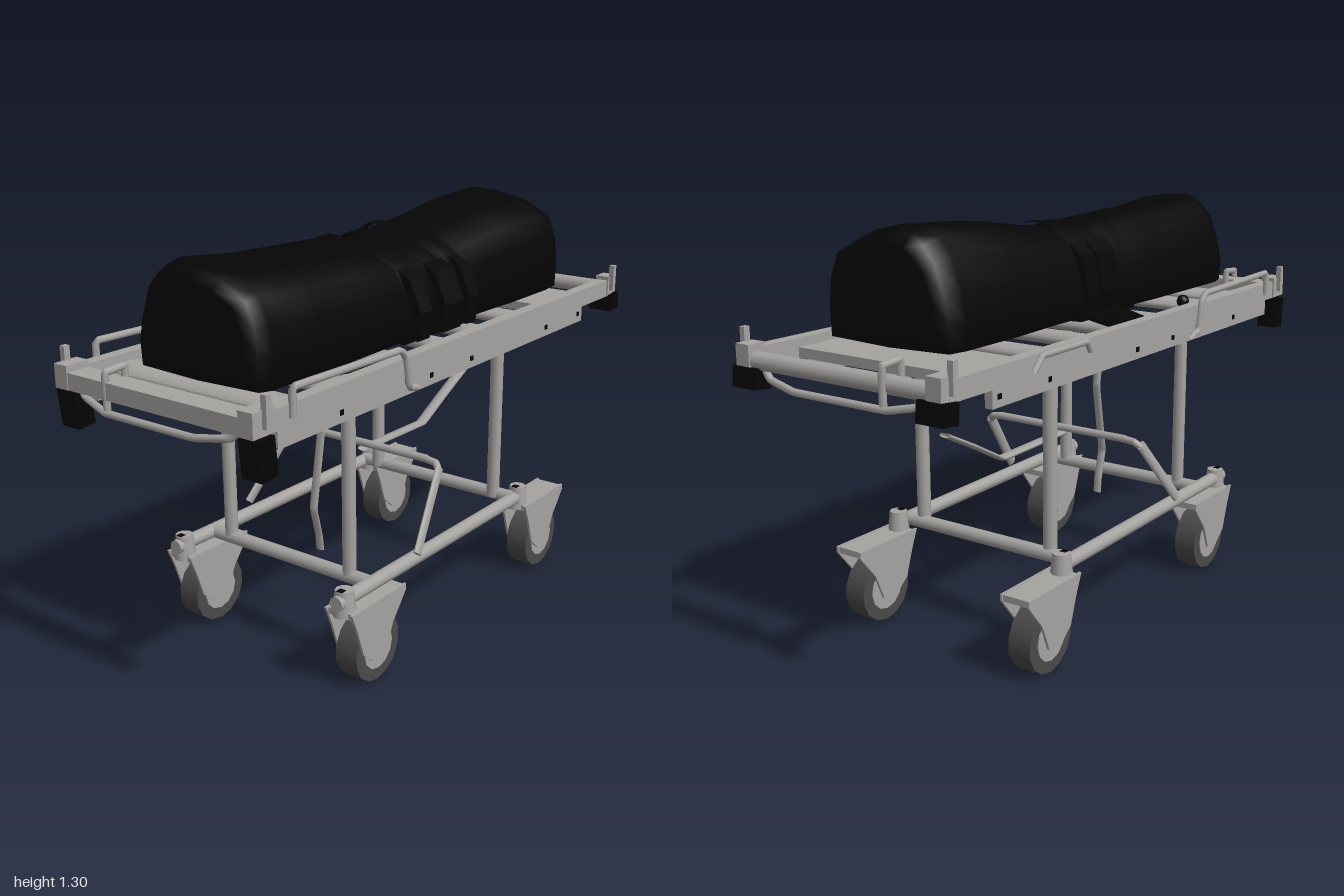
import * as THREE from 'three';

const mat = (name, color, side = THREE.FrontSide) => {
  const m = new THREE.MeshStandardMaterial({ color, side });
  m.name = name;
  return m;
};

export function createModel() {
  const steel = mat('steel grey', 0xa6a4a1, THREE.DoubleSide);
  const rubber = mat('tyre grey', 0x4a4a4a);
  const black = mat('black fabric', 0x050505, THREE.DoubleSide);
  const root = new THREE.Group();
  root.name = 'stretcher';
  const V = (p) => new THREE.Vector3(...p);

  const add = (name, geo, m, pos = [0, 0, 0], parent = root) => {
    const mesh = new THREE.Mesh(geo, m);
    mesh.name = name;
    mesh.position.set(...pos);
    parent.add(mesh);
    return mesh;
  };
  const box = (name, size, pos, m = steel, parent = root) =>
    add(name, new THREE.BoxGeometry(...size), m, pos, parent);
  // Straight round bar between two points
  const bar = (name, a, b, r) => {
    const d = V(b).sub(V(a));
    const mesh = add(name, new THREE.CylinderGeometry(r, r, d.length(), 10), steel);
    mesh.position.copy(V(a)).addScaledVector(d, 0.5);
    mesh.quaternion.setFromUnitVectors(new THREE.Vector3(0, 1, 0), d.normalize());
    return mesh;
  };
  // Bent rod with tight corners
  const rod = (name, pts, r) => {
    const path = new THREE.CurvePath();
    const v = pts.map(V);
    for (let i = 0; i < v.length - 1; i++) path.add(new THREE.LineCurve3(v[i], v[i + 1]));
    return add(name, new THREE.TubeGeometry(path, 40, r, 7), steel);
  };
  // Flat outline given thickness
  const plate = (pts, depth) => new THREE.ExtrudeGeometry(
    new THREE.Shape(pts.map((p) => new THREE.Vector2(...p))), { depth, bevelEnabled: false });
  // Skin through rings of equal point count
  const loft = (rings) => {
    const n = rings[0].length, pos = rings.flat(2), idx = [];
    for (let i = 0; i < rings.length - 1; i++)
      for (let j = 0; j < n; j++) {
        const a = i * n + j, b = i * n + (j + 1) % n;
        idx.push(a, b, a + n, b, b + n, a + n);
      }
    const g = new THREE.BufferGeometry();
    g.setAttribute('position', new THREE.Float32BufferAttribute(pos, 3));
    g.setIndex(idx);
    g.computeVertexNormals();
    return g;
  };

  // Bag: one rounded profile (z, height fraction) swept along x
  const profile = [[0.255, 0.02], [0.258, 0.3], [0.248, 0.56], [0.218, 0.78], [0.125, 0.93], [0.03, 0.99],
    [-0.06, 1], [-0.1, 0.91], [-0.14, 0.77], [-0.172, 0.5], [-0.19, 0.25], [-0.185, 0.02], [0.03, 0]];
  const floorY = 0.96;
  const ring = (x, top, s) => profile.map(([z, t]) => {
    const mid = (floorY + top) / 2, y = floorY + t * (top - floorY);
    return [x, mid + (y - mid) * s, 0.03 + (z - 0.03) * s];
  });
  const stations = [[-0.845, 1.27, 0.001], [-0.85, 1.27, 0.8], [-0.835, 1.275, 0.97], [-0.79, 1.28, 1],
    [-0.6, 1.26, 1], [-0.35, 1.25, 1], [-0.18, 1.245, 0.99], [-0.05, 1.23, 0.97], [0.08, 1.245, 0.98],
    [0.22, 1.26, 0.98], [0.42, 1.287, 1], [0.66, 1.3, 1], [0.73, 1.285, 0.98], [0.755, 1.27, 0.85],
    [0.76, 1.27, 0.001]];
  add('bag', loft(stations.map((s) => ring(...s))), black);

  // Straps wrapped round the bag
  for (const [x, w, top, tilt] of [[-0.18, 0.05, 1.243, -0.02], [-0.02, 0.09, 1.235, 0], [0.08, 0.06, 1.25, 0.01]]) {
    const strap = add('strap', loft([ring(-w / 2, top, 1.04), ring(w / 2, top, 1.04)]), black, [x, 0, 0]);
    strap.rotation.y = tilt;
  }
  // Loose strap ends reaching down to the side rails
  const tail = (x, w, pts) =>
    add('strapEnd', plate(pts.map(([z, y]) => [-z, y]), w), black, [x - w / 2, 0, 0]).rotation.y = Math.PI / 2;
  for (const [x, w] of [[-0.17, 0.06], [-0.02, 0.1], [0.09, 0.05]])
    tail(x, w, [[0.23, 1.18], [0.275, 1.155], [0.315, 1.06], [0.305, 0.975], [0.285, 0.975], [0.29, 1.06], [0.25, 1.14]]);
  for (const [x, w] of [[-0.02, 0.1], [0.08, 0.07]])
    tail(x, w, [[-0.15, 1.2], [-0.195, 1.165], [-0.224, 1.045], [-0.215, 0.99], [-0.31, 0.965], [-0.31, 0.955],
      [-0.2, 0.975], [-0.205, 1.045], [-0.18, 1.14]]);

  // Bed frame: mirrored long rails with lower side plates
  for (const s of [1, -1]) {
    const z = s * 0.34;
    box('sideRail', [1.9, 0.06, 0.04], [0, 0.937, z]);
    box('sidePlate', [1.64, 0.06, 0.025], [-0.06, 0.88, s * 0.335]);
    for (const x of [-0.62, -0.19, 0.03, 0.5, 0.73])
      box('rivet', [0.015, 0.015, 0.008], [x, 0.88, s * 0.346], black);
    // Fold-down guard beside the bed
    const g = s * 0.365;
    rod('guardRail', [[-0.84, 0.93, g], [-0.84, 1.01, g], [-0.37, 1, g], [-0.345, 0.97, g],
      [-0.33, 0.88, g], [-0.29, 0.87, g]], 0.011);
    // Corner bumpers and brackets
    box('bumper', [0.06, 0.11, 0.07], [-0.945, 0.85, s * 0.34], black).rotation.z = 0.1;
    box('bumper', [0.06, 0.06, 0.09], [0.962, 0.885, s * 0.332], black).rotation.z = 0.1;
    box('cornerBracket', [0.06, 0.07, 0.05], [0.955, 0.945, z]);
    box('cornerBracket', [0.08, 0.07, 0.05], [-0.95, 0.945, z]);
    for (const x of [-0.945, 0.945]) box('cornerPost', [0.02, 0.09, 0.018], [x, 0.975, s * 0.37]);
  }
  rod('shortGuard', [[0.32, 0.93, -0.365], [0.34, 0.96, -0.365], [0.56, 0.96, -0.365], [0.6, 0.92, -0.365]], 0.01);
  bar('footBar', [0.955, 0.932, -0.34], [0.955, 0.932, 0.34], 0.027);
  box('headBar', [0.075, 0.05, 0.66], [-0.95, 0.935, 0]);

  // End pull handles and small loops
  for (const s of [1, -1]) {
    rod('pullHandle', [[s * 0.94, 0.94, 0.33], [s * 0.96, 0.885, 0.26], [s * 0.98, 0.87, 0.15],
      [s * 0.98, 0.87, -0.18], [s * 0.96, 0.89, -0.28], [s * 0.94, 0.94, -0.33]], 0.011);
    rod('endLoop', [[s * 0.91, 0.93, -0.17], [s * 0.91, 0.99, -0.17], [s * 0.98, 0.985, -0.17],
      [s * 0.98, 0.88, -0.17]], 0.011);
  }

  // Bed slats: flattened round bars, with a wide plate at the foot end
  for (const [x, w] of [[-0.76, 0.13], [-0.54, 0.12], [-0.24, 0.07], [-0.02, 0.07], [0.18, 0.08], [0.41, 0.09]]) {
    const slat = add('slat', new THREE.CylinderGeometry(0.5, 0.5, 0.66, 10), steel, [x, 0.92, 0]);
    slat.rotation.x = Math.PI / 2;
    slat.scale.set(w, 1, 0.045);
  }
  box('footPlate', [0.25, 0.03, 0.66], [0.67, 0.925, 0]);
  add('underKnob', new THREE.SphereGeometry(0.042, 10, 6), steel, [0.74, 0.885, 0]);
  add('knob', new THREE.SphereGeometry(0.022, 8, 6), black, [-0.45, 0.95, -0.24]);

  // Lower chassis: posts, cross bars, long rails and the mirrored legs of the tilt bar
  for (const s of [1, -1]) {
    bar('post', [-0.45, 0.29, s * 0.238], [-0.45, 0.92, s * 0.238], 0.021);
    bar('post', [0.355, 0.29, s * 0.248], [0.355, 0.92, s * 0.248], 0.022);
    bar('baseRail', [-0.62, 0.298, s * 0.32], [0.41, 0.29, s * 0.32], 0.023);
    bar('tiltLeg', [-0.25, 0.322, s * 0.345], [-0.075, 0.54, s * 0.305], 0.019).scale.z = 0.5;
    rod('tiltCorner', [[-0.08, 0.53, s * 0.307], [-0.066, 0.55, s * 0.285], [-0.064, 0.555, s * 0.24]], 0.012);
  }
  for (const x of [-0.45, 0.365]) bar('crossBar', [x, 0.297, -0.32], [x, 0.297, 0.32], 0.022);
  bar('tiltBar', [-0.064, 0.555, -0.25], [-0.064, 0.555, 0.25], 0.013);

  // Central lever and release strip, both flattened
  rod('lever', [[-0.07, 0.535, 0], [0.27, 0.53, 0], [0.4, 0.6, 0], [0.54, 0.67, 0]], 0.008).scale.z = 2.6;
  rod('releaseStrip', [[-0.315, 0.88, 0], [-0.283, 0.65, 0], [-0.325, 0.41, 0], [-0.3, 0.31, 0],
    [-0.295, 0.26, 0]], 0.007).scale.z = 2.2;

  // Trailing caster: tyre, hub, two fork cheeks, crown and swivel
  const cheek = plate([[-0.14, 0.27], [-0.115, 0.21], [-0.085, 0.12], [-0.035, 0.078],
    [0.025, 0.085], [0.06, 0.17], [0.125, 0.25], [0.125, 0.27]], 0.008);
  const tyre = new THREE.CylinderGeometry(0.106, 0.106, 0.076, 14).rotateX(Math.PI / 2);
  const hub = new THREE.CylinderGeometry(0.068, 0.068, 0.082, 12).rotateX(Math.PI / 2);
  for (const x of [-0.47, 0.51])
    for (const z of [-0.32, 0.32]) {
      const c = new THREE.Group();
      c.name = 'caster';
      c.position.set(x, 0, z);
      root.add(c);
      add('tyre', tyre, rubber, [0, 0.107, 0], c);
      add('hub', hub, steel, [0, 0.107, 0], c);
      add('forkCheek', cheek, steel, [0, 0, 0.043], c);
      add('forkCheek', cheek, steel, [0, 0, -0.051], c);
      box('forkCrown', [0.25, 0.02, 0.09], [-0.005, 0.258, 0], steel, c);
      add('swivel', new THREE.CylinderGeometry(0.028, 0.036, 0.08, 10), steel, [-0.11, 0.29, 0], c);
      box('swivelCap', [0.02, 0.01, 0.02], [-0.125, 0.327, 0], black, c);
    }
  return root;
}
